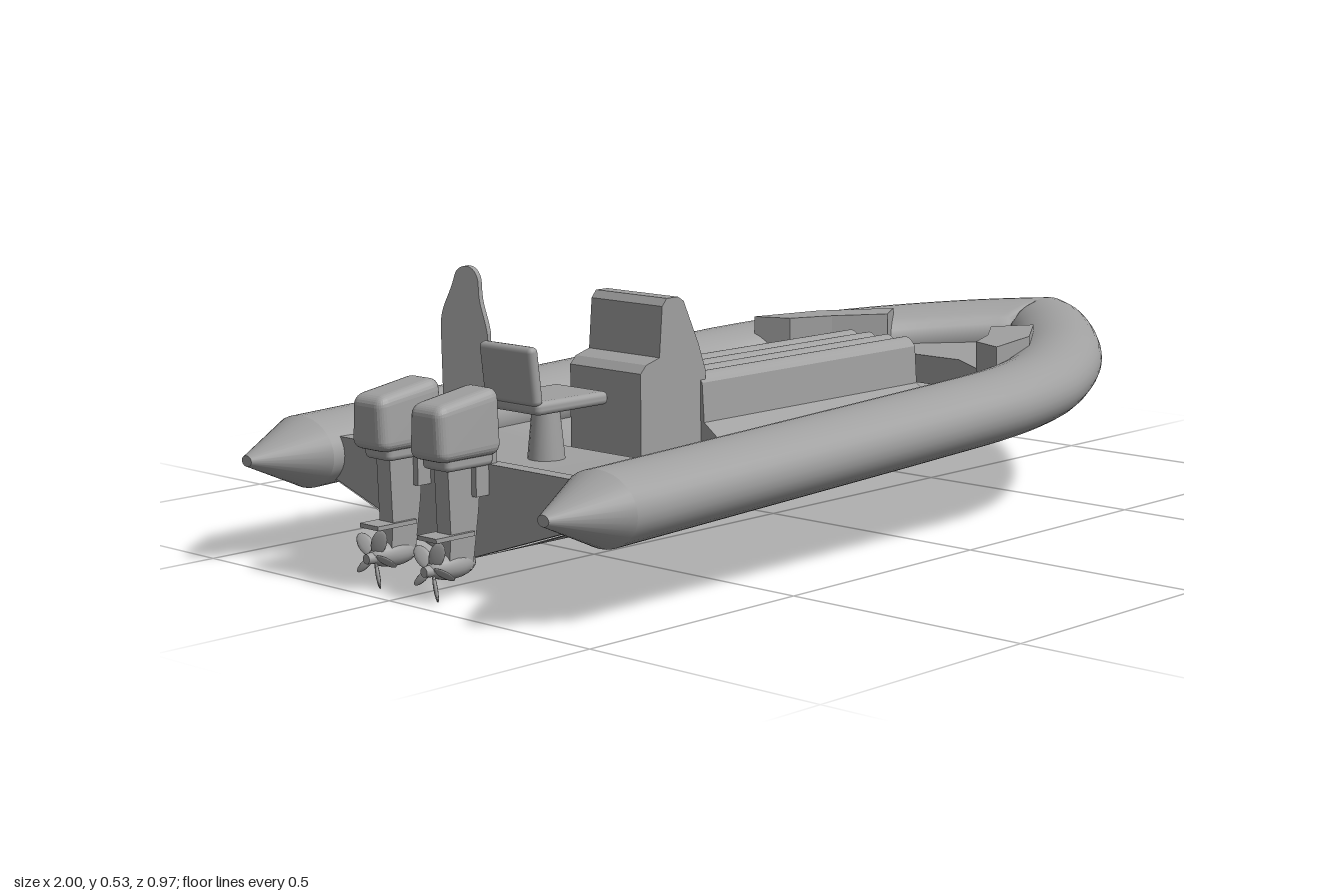
import * as THREE from 'three';
import { RoundedBoxGeometry } from 'three/addons/geometries/RoundedBoxGeometry.js';

const grey = new THREE.MeshStandardMaterial({ color: 0xa0a0a0, side: THREE.DoubleSide });
grey.name = 'grey';

function add(parent, name, geometry, x = 0, y = 0, z = 0) {
  const mesh = new THREE.Mesh(geometry, grey);
  mesh.name = name;
  mesh.position.set(x, y, z);
  parent.add(mesh);
  return mesh;
}

// Skin a list of equal-length cross-sections (arrays of [x, y, z])
function loft(sections, closed) {
  const n = sections[0].length, index = [];
  for (let i = 0; i < sections.length - 1; i++) {
    for (let j = 0; j < (closed ? n : n - 1); j++) {
      const a = i * n + j, b = i * n + (j + 1) % n;
      index.push(a, b, a + n, b, b + n, a + n);
    }
  }
  const g = new THREE.BufferGeometry();
  g.setAttribute('position', new THREE.Float32BufferAttribute(sections.flat(2), 3));
  g.setIndex(index);
  g.computeVertexNormals();
  return g;
}

const shapeOf = pts => new THREE.Shape(pts.map(p => new THREE.Vector2(p[0], p[1])));
const extrude = (shape, depth) => new THREE.ExtrudeGeometry(shape, { depth, bevelEnabled: false, curveSegments: 12 });
// Plan outline of [x, z] points raised from y0 to y1
const plan = (pts, y0, y1) =>
  extrude(shapeOf(pts.map(([x, z]) => [x, -z])), y1 - y0).rotateX(-Math.PI / 2).translate(0, y0, 0);
// Outline of [z, y] points running along x from x0 to x1
const across = (shape, x0, x1) => extrude(shape, x1 - x0).rotateY(-Math.PI / 2).translate(x1, 0, 0);

// Centre line of one buoyancy tube
const path = new THREE.CatmullRomCurve3([
  [-0.87, 0.2, 0.392], [-0.4, 0.217, 0.392], [0, 0.232, 0.392], [0.2, 0.241, 0.392], [0.3, 0.247, 0.381],
  [0.4, 0.253, 0.355], [0.6, 0.266, 0.252], [0.78, 0.277, 0.109], [0.893, 0.281, 0],
].map(p => new THREE.Vector3(...p)));
const RX = 0.092, RY = 0.068;

function tubeSections(side) {
  const sections = [], N = 54;
  for (let i = 0; i <= N; i++) {
    const c = path.getPoint(i / N), t = path.getTangent(i / N);
    const len = Math.hypot(t.x, t.z), last = i === N;
    const nx = last ? 1 : -t.z / len, nz = last ? 0 : t.x / len, r = last ? 0.106 : RX;
    const ring = [];
    for (let j = 0; j < 32; j++) {
      const a = j / 32 * Math.PI * 2, u = r * Math.cos(a);
      ring.push([c.x + nx * u, c.y + RY * Math.sin(a), side * Math.max(0, c.z + nz * u)]);
    }
    sections.push(ring);
  }
  return sections;
}

// Keel height along the length
function keelY(x) {
  const t = Math.max(0, (x - 0.2) / 0.69);
  return 0.045 + 0.17 * Math.pow(t, 1.75);
}

function outboard(z) {
  const motor = new THREE.Group();
  motor.name = 'outboardMotor';
  motor.position.z = z;
  // Tapered engine cowl
  const cowl = new RoundedBoxGeometry(0.145, 0.11, 0.095, 3, 0.02);
  const p = cowl.attributes.position;
  for (let i = 0; i < p.count; i++) {
    const k = p.getY(i) / 0.11 + 0.5;
    p.setZ(i, p.getZ(i) * (1 - 0.15 * k));
    p.setY(i, p.getY(i) + p.getX(i) * 0.16 * k);
  }
  cowl.computeVertexNormals();
  add(motor, 'cowl', cowl, -0.895, 0.306, 0);
  add(motor, 'cowlBase', new RoundedBoxGeometry(0.11, 0.035, 0.07, 2, 0.01), -0.89, 0.25, 0);
  // Leg, cavitation plate and gearcase
  const leg = shapeOf([[-0.93, 0.25], [-0.85, 0.25], [-0.86, 0.15], [-0.875, 0.05], [-0.93, 0.05], [-0.925, 0.12]]);
  add(motor, 'leg', extrude(leg, 0.036), 0, 0, -0.018);
  add(motor, 'cavitationPlate', new THREE.BoxGeometry(0.09, 0.008, 0.05), -0.92, 0.115, 0);
  add(motor, 'gearcase', new THREE.SphereGeometry(1, 20, 12).scale(0.055, 0.024, 0.024), -0.91, 0.06, 0);
  add(motor, 'mountBracket', new THREE.BoxGeometry(0.05, 0.08, 0.06), -0.85, 0.22, 0);
  // Propeller
  const prop = new THREE.Group();
  prop.name = 'propeller';
  prop.position.set(-0.953, 0.058, 0);
  add(prop, 'hub', new THREE.CylinderGeometry(0.009, 0.014, 0.04, 14).rotateZ(Math.PI / 2));
  for (let i = 0; i < 5; i++) {
    const blade = new THREE.SphereGeometry(1, 12, 8).scale(0.004, 0.026, 0.014);
    blade.rotateY(0.7).translate(0, 0.031, 0).rotateX(i / 5 * Math.PI * 2 + 0.4);
    add(prop, 'blade', blade);
  }
  motor.add(prop);
  return motor;
}

export function createModel() {
  const boat = new THREE.Group();
  boat.name = 'inflatableBoat';
  const line = path.getPoints(54);

  for (const side of [1, -1]) {
    // Buoyancy tube and its tapered stern cone
    add(boat, 'tube', loft(tubeSections(side), true));
    const cone = new THREE.CylinderGeometry(0.15, 1, 0.13, 32).rotateZ(Math.PI / 2).scale(1, RY, RX);
    add(boat, 'tubeCone', cone, -0.934, 0.2, side * 0.392);
    // Half of the V-shaped hull, meeting the underside of the tube
    const half = line.map(c => {
      const x = Math.max(c.x, -0.845), bow = THREE.MathUtils.smoothstep(x, 0, 0.5);
      const chineZ = Math.max(0, c.z - 0.045 + 0.025 * bow), top = c.y - 0.042 - 0.022 * bow;
      const k = Math.min(keelY(x), top);
      return [[x, k, 0], [x, k + (top - k) * 0.48, side * chineZ * 0.5], [x, top, side * chineZ]];
    });
    add(boat, 'hullSide', loft(half, false));
    // Cushion beside the bow step
    add(boat, 'bowCushion', plan([[0.3, side * 0.325], [0.46, side * 0.285], [0.6, side * 0.19],
      [0.52, side * 0.14], [0.42, side * 0.21], [0.33, side * 0.25]], 0.265, 0.338));
  }

  // Stern wall
  const wall = shapeOf([[0, 0.045], [0.347, 0.16], [0.33, 0.235], [-0.33, 0.235], [-0.347, 0.16]]);
  add(boat, 'transom', across(wall, -0.845, -0.815));

  // Cockpit floor: flat aft, a sunken well with sloping sides beside the bench
  const floor = [[-0.83, 0.2, 0.2], [-0.5, 0.2, 0.2], [-0.3, 0.135, 0.205], [0.2, 0.135, 0.215],
    [0.36, 0.16, 0.225], [0.52, 0.19, 0.235]].map(([x, y, edge]) =>
    [[x, edge, -0.33], [x, y, -0.17], [x, y, 0.17], [x, edge, 0.33]]);
  add(boat, 'floor', loft(floor, false));

  // Raised bow deck with an angled step
  const fore = line.filter(c => c.x > 0.36 && c.x < 0.87).map(c => [c.x, Math.max(0, c.z - 0.03)]);
  const rim = [[0.49, 0.08], [0.34, 0.3], ...fore];
  add(boat, 'bowDeck', plan([...rim, ...rim.slice().reverse().map(([x, z]) => [x, -z])], 0.205, 0.265));

  // Long ribbed bench
  const bench = shapeOf([[-0.135, 0.12], [-0.125, 0.24], [-0.095, 0.315]]);
  const ribs = 4, w = 0.195 / ribs;
  for (let i = 0; i < ribs; i++) {
    const z = -0.095 + i * w;
    bench.quadraticCurveTo(z + w / 2, 0.35, z + w, 0.315);
  }
  for (const [z, y] of [[0.105, 0.24], [0.16, 0.2], [0.165, 0.12]]) bench.lineTo(z, y);
  add(boat, 'bench', across(bench, -0.31, 0.32));

  // Steering console
  const side = shapeOf([[-0.47, 0.12], [-0.47, 0.35], [-0.455, 0.365], [-0.42, 0.375], [-0.412, 0.47],
    [-0.4, 0.484], [-0.37, 0.484], [-0.355, 0.475], [-0.315, 0.39], [-0.297, 0.34], [-0.295, 0.12]]);
  add(boat, 'console', extrude(side, 0.186), 0, 0, -0.09);

  // Helm seat
  add(boat, 'seatCushion', new RoundedBoxGeometry(0.18, 0.025, 0.14, 2, 0.01), -0.605, 0.308, -0.01);
  add(boat, 'seatPost', new THREE.CylinderGeometry(0.025, 0.035, 0.1, 16), -0.61, 0.25, -0.01);
  const back = add(boat, 'seatBack', new RoundedBoxGeometry(0.022, 0.11, 0.14, 2, 0.01), -0.695, 0.367, -0.01);
  back.rotation.z = 0.12;

  // Thin upright blade beside the seat, turned slightly
  const blade = shapeOf([[0.049, 0.2], [0.05, 0.41]]);
  blade.bezierCurveTo(0.043, 0.45, 0.032, 0.46, 0.032, 0.5);
  blade.bezierCurveTo(0.032, 0.545, -0.014, 0.545, -0.02, 0.515);
  blade.bezierCurveTo(-0.034, 0.47, -0.05, 0.46, -0.051, 0.42);
  blade.lineTo(-0.047, 0.2);
  add(boat, 'uprightBlade', across(blade, -0.007, 0.007), -0.598, 0, -0.237).rotation.y = 0.3;

  // Twin outboards
  boat.add(outboard(0.062), outboard(-0.092));
  return boat;
}
